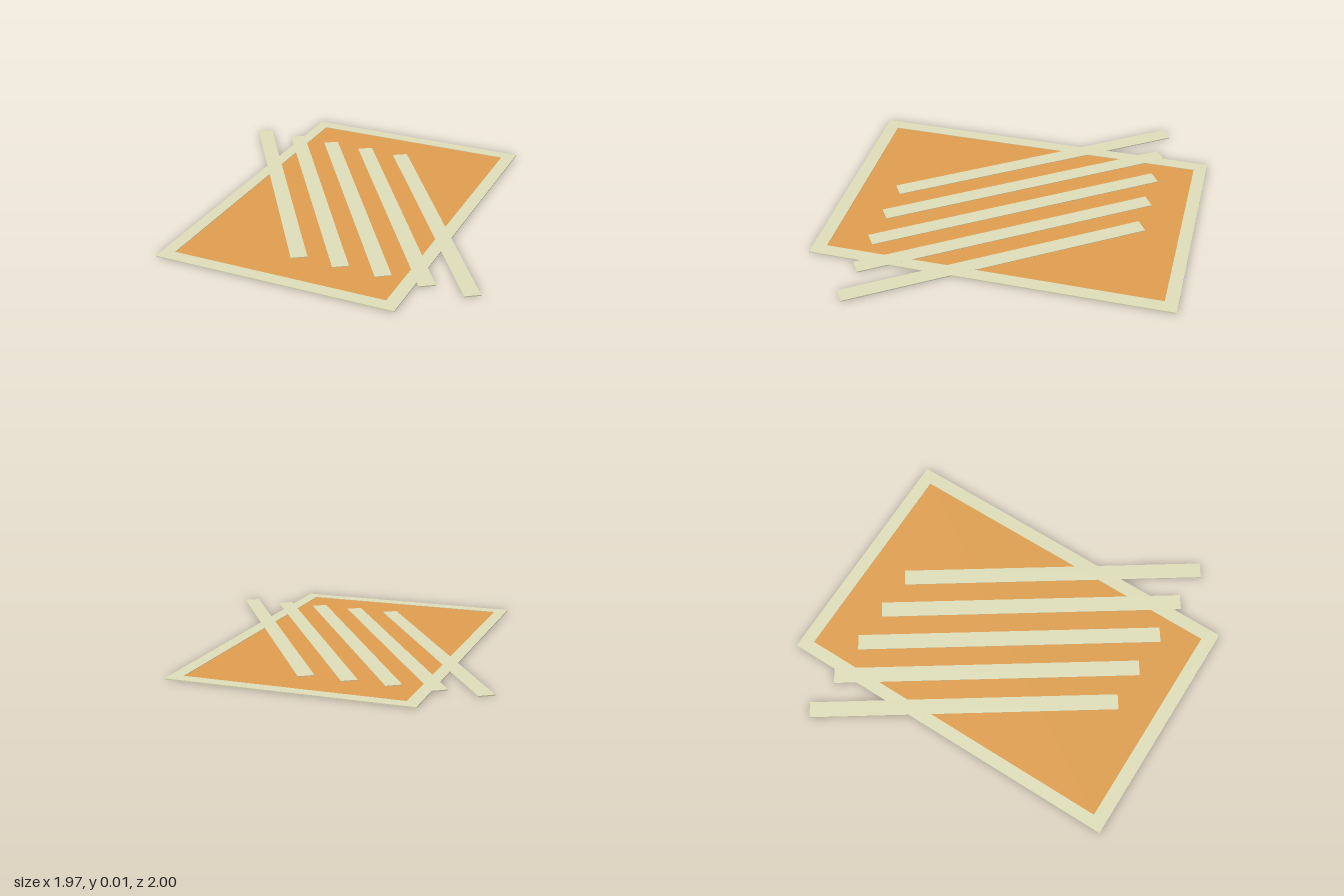
import * as THREE from 'three';

export function createModel() {
  const model = new THREE.Group();
  const cream = new THREE.MeshStandardMaterial({ color: 0xdddcb8 });
  const orange = new THREE.MeshStandardMaterial({ color: 0xdd9d4e });
  const T = 0.006; // overall thickness

  // flat rectangle outline in plan; shape y becomes -z once laid flat
  const rect = (Path, x0, x1, z0, z1) => new Path([
    new THREE.Vector2(x0, -z1), new THREE.Vector2(x1, -z1),
    new THREE.Vector2(x1, -z0), new THREE.Vector2(x0, -z0),
  ]);
  const slab = (name, shape, depth, material) => {
    const geometry = new THREE.ExtrudeGeometry(shape, { depth, bevelEnabled: false });
    geometry.rotateX(-Math.PI / 2);
    const mesh = new THREE.Mesh(geometry, material);
    mesh.name = name;
    model.add(mesh);
  };

  // raised border around a thinner panel
  const inner = [-0.613, 0.58, -0.928, 0.924];
  const border = rect(THREE.Shape, -0.682, 0.653, -1, 1);
  border.holes.push(rect(THREE.Path, ...inner));
  slab('border', border, T, cream);
  slab('panel', rect(THREE.Shape, ...inner), T / 2, orange);

  // five parallel slanted bars, some overhanging the border
  const barGeometry = new THREE.BoxGeometry(0.087, T - 0.0005, 1.718);
  for (let i = 0; i < 5; i++) {
    const bar = new THREE.Mesh(barGeometry, cream);
    bar.name = `slantedBar${i + 1}`;
    bar.position.set((i - 2) * 0.236 - 0.002, T / 2 + 0.0005, -0.001);
    bar.rotation.y = Math.atan2(0.957, 1.427);
    model.add(bar);
  }
  return model;
}
